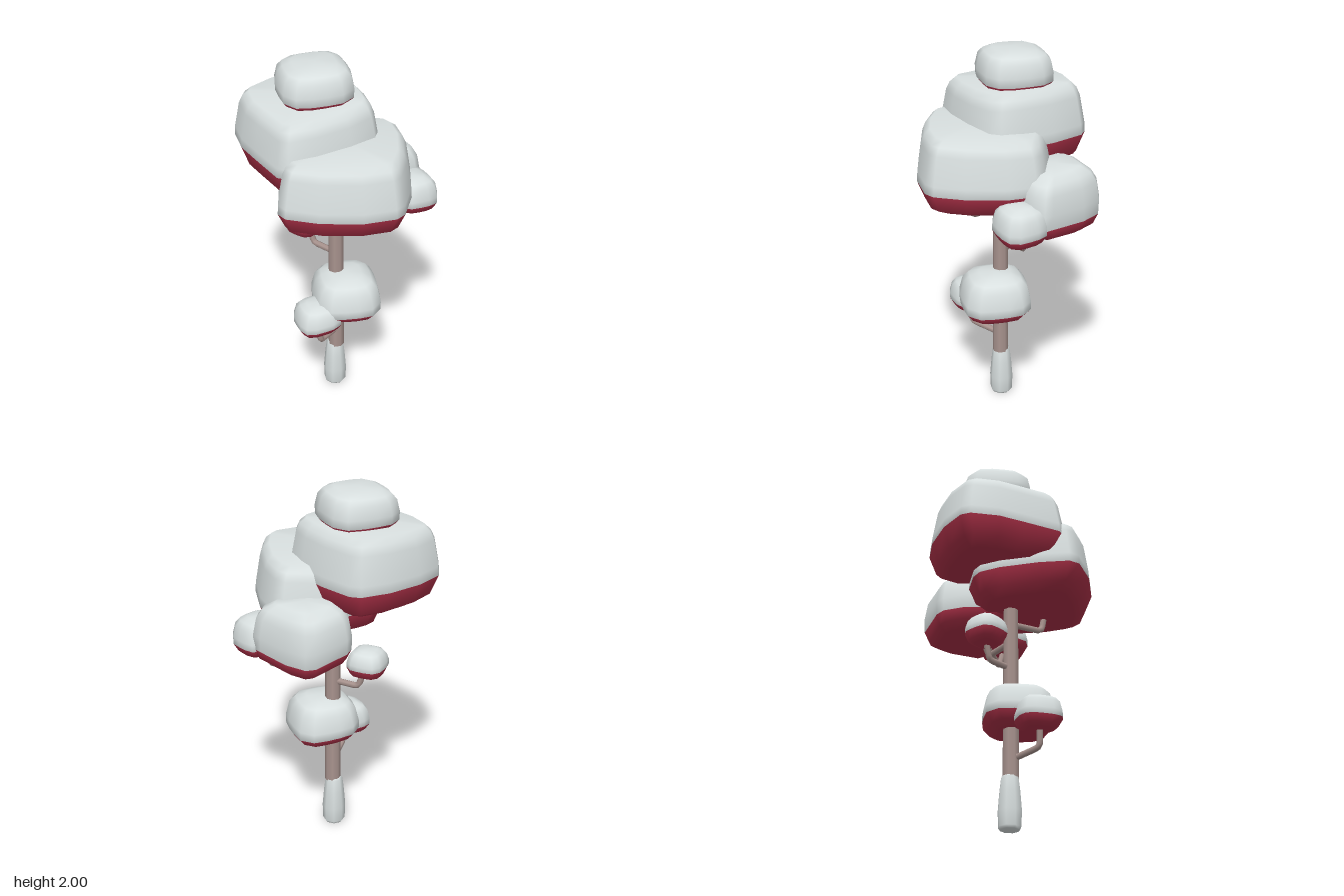
import * as THREE from 'three';

const snow = new THREE.MeshStandardMaterial({ color: 0xd9e0e0 });
snow.name = 'snow';
const leaf = new THREE.MeshStandardMaterial({ color: 0xab3047 });
leaf.name = 'red foliage';
const bark = new THREE.MeshStandardMaterial({ color: 0xa8938e });
bark.name = 'bark';

// [height fraction, outline scale]; the first three rings bound the red underside
const slab = s => [[0, 0.7], [0.09, 0.89], [s, 1], [s + 0.12, 0.99], [0.79, 0.92], [0.89, 0.87], [0.96, 0.78]];
const dome = s => [[0, 0.68], [0.09, 0.88], [s, 0.99], [s + 0.22, 1], [0.74, 0.93], [0.88, 0.8], [0.97, 0.57]];
const puff = s => [[0, 0.55], [0.09, 0.82], [s, 1], [s + 0.18, 1], [0.76, 0.9], [0.9, 0.73], [0.98, 0.45]];

// Rounded square plan for the smaller clumps
function roundedSquare(x0, x1, z0, z1, turn = 0, n = 16) {
  const pts = [];
  for (let i = 0; i < n; i++) {
    const a = (i + 0.5) / n * Math.PI * 2, c = Math.cos(a + turn), s = Math.sin(a + turn);
    const r = 1 / Math.pow(Math.abs(c) ** 3.6 + Math.abs(s) ** 3.6, 1 / 3.6);
    pts.push([r * Math.cos(a), r * Math.sin(a)]);
  }
  const mx = Math.max(...pts.map(p => Math.abs(p[0])));
  const mz = Math.max(...pts.map(p => Math.abs(p[1])));
  return pts.map(([x, z]) => [(x0 + x1) / 2 + x / mx * (x1 - x0) / 2, (z0 + z1) / 2 + z / mz * (z1 - z0) / 2]);
}

// Foliage clump: plan outline lofted through a profile, snow above, red below.
// topTilt and baseTilt slope the upper and lower ends along x and z.
function clump(name, outline, y0, y1, profile, topTilt = [0, 0], baseTilt = [0, 0]) {
  const n = outline.length, h = y1 - y0;
  const xs = outline.map(p => p[0]), zs = outline.map(p => p[1]);
  const cx = (Math.min(...xs) + Math.max(...xs)) / 2, cz = (Math.min(...zs) + Math.max(...zs)) / 2;
  const pos = [cx, y0, cz], index = [];
  for (const [t, s] of profile) {
    const kx = baseTilt[0] * (1 - t) + topTilt[0] * t, kz = baseTilt[1] * (1 - t) + topTilt[1] * t;
    for (const [x, z] of outline) {
      const dx = (x - cx) * s, dz = (z - cz) * s;
      pos.push(cx + dx, y0 + t * h + dx * kx + dz * kz, cz + dz);
    }
  }
  pos.push(cx, y1, cz);
  const top = 1 + profile.length * n;
  const at = (r, i) => 1 + r * n + i % n;
  for (let i = 0; i < n; i++) index.push(at(0, i), at(0, i + 1), 0);
  let split = 0;
  for (let r = 0; r < profile.length - 1; r++) {
    if (r === 2) split = index.length;
    for (let i = 0; i < n; i++) {
      const a = at(r, i), b = at(r, i + 1), c = at(r + 1, i), d = at(r + 1, i + 1);
      index.push(a, c, b, c, d, b);
    }
  }
  for (let i = 0; i < n; i++) index.push(at(profile.length - 1, i), top, at(profile.length - 1, i + 1));
  const geo = new THREE.BufferGeometry();
  geo.setAttribute('position', new THREE.Float32BufferAttribute(pos, 3));
  geo.setIndex(index);
  geo.addGroup(0, split, 0);
  geo.addGroup(split, index.length - split, 1);
  geo.computeVertexNormals();
  const mesh = new THREE.Mesh(geo, [leaf, snow]);
  mesh.name = name;
  return mesh;
}

// Bent twig with a slightly bevelled elbow
function branch(name, a, b, c) {
  const [A, B, C] = [a, b, c].map(p => new THREE.Vector3(...p));
  const path = new THREE.CurvePath();
  const p = B.clone().lerp(A, 0.14), q = B.clone().lerp(C, 0.22);
  path.add(new THREE.LineCurve3(A, p));
  path.add(new THREE.QuadraticBezierCurve3(p, B, q));
  path.add(new THREE.LineCurve3(q, C));
  const mesh = new THREE.Mesh(new THREE.TubeGeometry(path, 14, 0.017, 7), bark);
  mesh.name = name;
  return mesh;
}

export function createModel() {
  const g = new THREE.Group();
  g.name = 'snowyTree';

  // Trunk and its snow-covered foot
  const trunk = new THREE.Mesh(new THREE.CylinderGeometry(0.04, 0.044, 1.23, 8), bark);
  trunk.position.set(-0.031, 0.885, 0.003);
  trunk.rotation.y = Math.PI / 8;
  trunk.name = 'trunk';
  const footProfile = [[0, 0], [0.05, 0], [0.061, 0.015], [0.064, 0.1], [0.056, 0.2], [0.047, 0.275], [0.036, 0.285]];
  const foot = new THREE.Mesh(new THREE.LatheGeometry(footProfile.map(p => new THREE.Vector2(...p)), 8), snow);
  foot.position.set(-0.037, 0, -0.003);
  foot.rotation.y = Math.PI / 8;
  foot.name = 'snowyFoot';
  g.add(trunk, foot);

  // Large stacked clumps, plan outlines as [x, z]
  const upper = [[-0.49, -0.3], [-0.35, -0.38], [-0.16, -0.435], [0, -0.443], [0.05, -0.41], [0.13, -0.24],
    [0.175, -0.07], [0.186, 0.05], [0.16, 0.11], [0.02, 0.19], [-0.17, 0.245], [-0.32, 0.26], [-0.37, 0.23],
    [-0.45, 0.03], [-0.5, -0.1], [-0.515, -0.25]];
  const middle = [[0.14, -0.23], [0.31, -0.16], [0.345, -0.1], [0.355, 0.05], [0.31, 0.26], [0.24, 0.41],
    [0.19, 0.445], [0.02, 0.455], [-0.19, 0.41], [-0.35, 0.335], [-0.38, 0.28], [-0.35, 0.12], [-0.28, -0.08],
    [-0.22, -0.18], [-0.16, -0.21], [0, -0.225]];
  const back = [[0.05, -0.395], [0.24, -0.455], [0.29, -0.44], [0.36, -0.34], [0.43, -0.16], [0.45, -0.11],
    [0.42, -0.06], [0.3, 0], [0.12, 0.015], [0.01, 0], [-0.025, -0.06], [-0.02, -0.26], [0.01, -0.36]];
  g.add(
    clump('crownClump', roundedSquare(-0.315, 0.07, -0.28, 0.1, 0.08), 1.79, 2, dome(0.22), [0.02, 0.02]),
    clump('upperClump', upper, 1.4, 1.83, slab(0.34), [0.05, -0.01]),
    clump('middleClump', middle, 1.23, 1.65, slab(0.31), [0, 0.03]),
    clump('backClump', back, 1.14, 1.48, dome(0.25), [-0.05, 0], [-0.12, 0.08]),
  );

  // Small clumps around the trunk
  g.add(
    clump('leftClump', roundedSquare(0.24, 0.512, -0.135, 0.135, 0.3), 1.14, 1.34, puff(0.3), [-0.05, 0], [-0.12, 0]),
    clump('rightClump', roundedSquare(-0.285, -0.06, -0.25, -0.03, 0.75), 0.96, 1.115, puff(0.36)),
    clump('lowerClump', roundedSquare(-0.165, 0.195, -0.14, 0.23), 0.535, 0.79, puff(0.26), [0, 0], [-0.06, 0]),
    clump('lowestClump', roundedSquare(-0.285, -0.035, 0.01, 0.255, 0.2), 0.495, 0.67, puff(0.3), [0, 0], [0.08, 0]),
  );

  // Bent branches
  g.add(
    branch('rightBranch', [-0.03, 0.89, 0], [-0.13, 0.89, -0.12], [-0.155, 1, -0.14]),
    branch('lowestBranch', [-0.03, 0.38, 0.01], [-0.145, 0.41, 0.14], [-0.16, 0.53, 0.14]),
    branch('backBranch', [-0.03, 1.04, 0], [0.15, 1.04, -0.1], [0.17, 1.18, -0.14]),
    branch('leftBranch', [0.14, 1.09, -0.11], [0.325, 1.06, -0.03], [0.355, 1.17, 0]),
    branch('middleBranch', [-0.03, 1.15, 0], [0.06, 1.16, 0.18], [0.07, 1.28, 0.2]),
  );
  return g;
}
